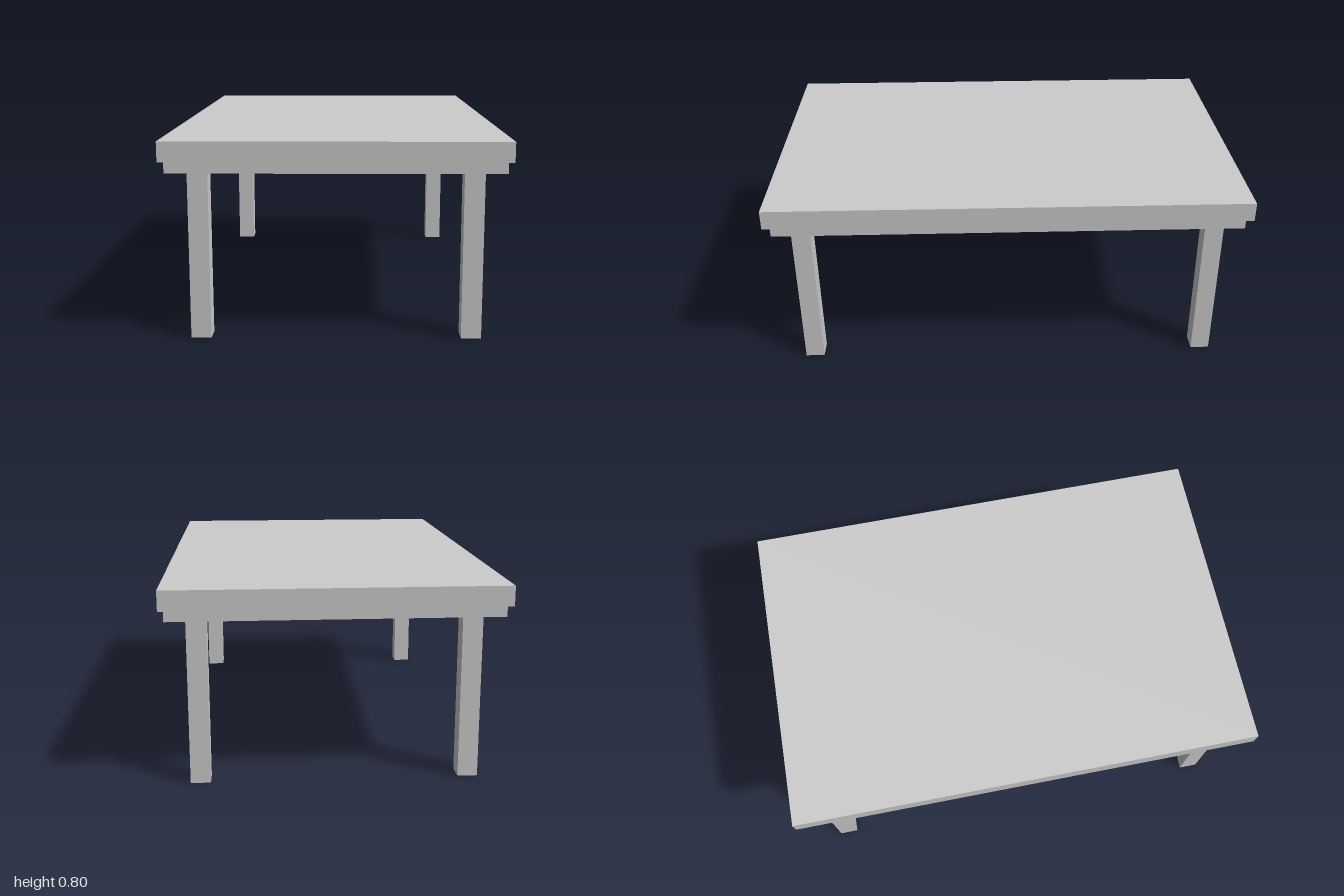
import * as THREE from 'three';

export function createModel() {
  const table = new THREE.Group();
  table.name = 'table';
  const material = new THREE.MeshStandardMaterial({ color: 0xcccccc, flatShading: true });

  // Box standing on height y0 and reaching up to y1
  function addBox(name, width, depth, y0, y1, x = 0, z = 0) {
    const mesh = new THREE.Mesh(new THREE.BoxGeometry(width, y1 - y0, depth), material);
    mesh.name = name;
    mesh.position.set(x, (y0 + y1) / 2, z);
    table.add(mesh);
  }

  // Thick top slab and the slightly smaller panel beneath it
  addBox('tableTop', 1.34, 2, 0.718, 0.798);
  addBox('underPanel', 1.302, 1.943, 0.672, 0.718);

  // Four square legs, set in from the corners
  for (const [side, x] of [['Left', 0.535], ['Right', -0.535]]) {
    for (const [end, z] of [['front', 0.867], ['back', -0.867]]) {
      addBox(`${end}${side}Leg`, 0.08, 0.08, 0, 0.672, x, z);
    }
  }

  return table;
}
